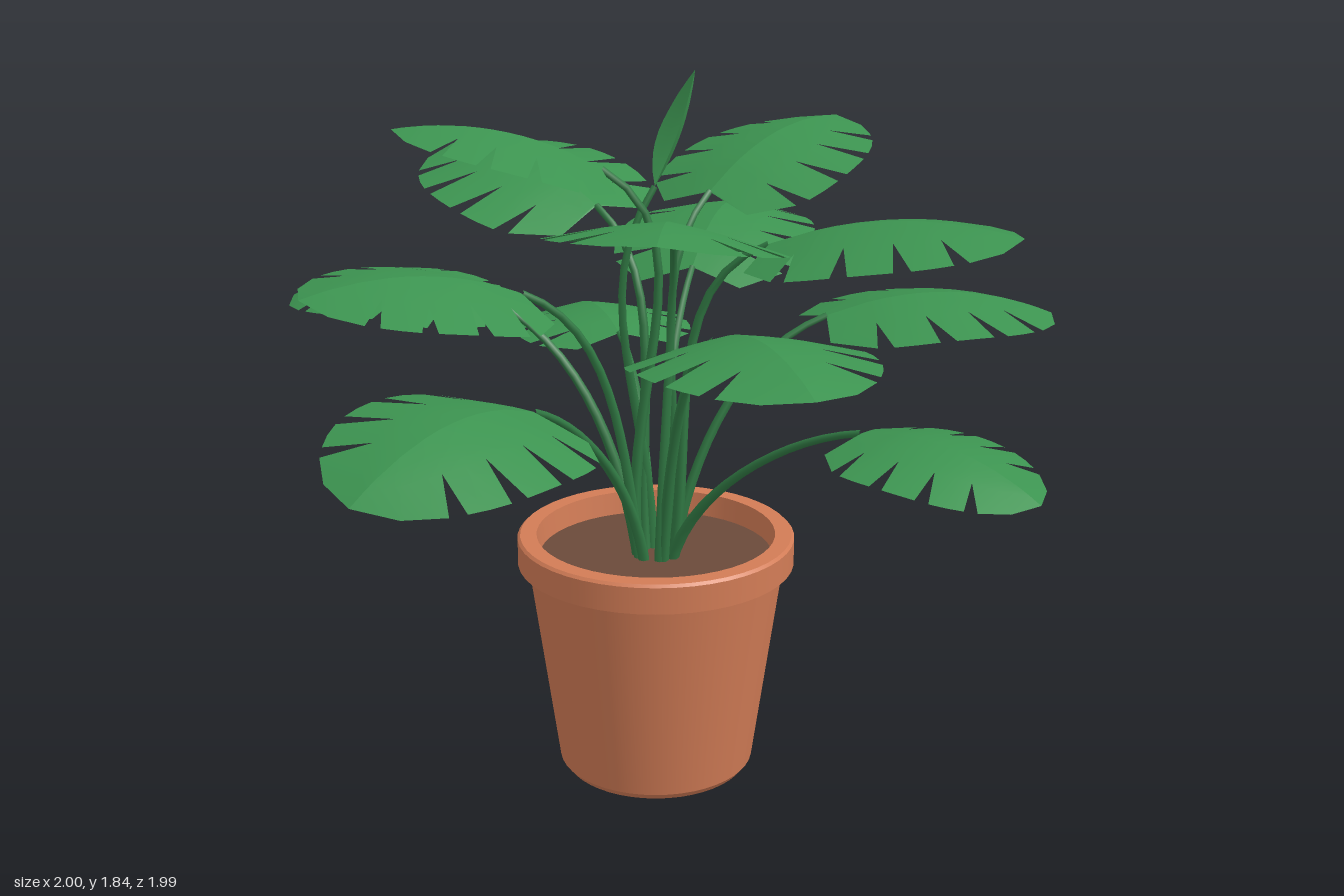
import * as THREE from 'three';
import { mergeGeometries, mergeVertices } from 'three/addons/utils/BufferGeometryUtils.js';

const V3 = (x, y, z) => new THREE.Vector3(x, y, z);
const V2 = (x, y) => new THREE.Vector2(x, y);
const CENTRE = V3(-0.057, 0, -0.075);

const mat = (name, color, side = THREE.FrontSide) => {
  const m = new THREE.MeshStandardMaterial({ color, side });
  m.name = name;
  return m;
};

// Half outline of a blade (along, across), from the notch at the stalk to the tip
const heart = new THREE.SplineCurve([
  V2(0, 0), V2(-0.06, 0.14), V2(-0.02, 0.32), V2(0.15, 0.46), V2(0.4, 0.5),
  V2(0.66, 0.45), V2(0.87, 0.3), V2(0.97, 0.13), V2(1, 0),
]);
const lance = new THREE.SplineCurve([V2(0, 0), V2(0.2, 0.36), V2(0.45, 0.5), V2(0.75, 0.32), V2(1, 0)]);
const SLITS = [0, 0.32, 0.47, 0.61, 0.75, 1];
const ROWS = [0, 0.25, 0.5, 1];

// Frame of a blade: forward along the midrib, side across it, up out of it
function bladeFrame({ base, tip, roll = 0 }) {
  const b = V3(...base), f = V3(...tip).sub(b), length = f.length();
  f.normalize();
  const side = V3(0, 1, 0).cross(f).normalize();
  const up = f.clone().cross(side);
  side.applyAxisAngle(f, -roll);
  up.applyAxisAngle(f, -roll);
  return { b, f, side, up, length };
}

// Blade: lobes joined near the midrib and parted by wedge slits at the rim
function bladeGeometry(leaf) {
  const { b, f, side, up, length } = bladeFrame(leaf);
  const { width, arch, fold = 0.13, outline = heart, gap = 0.02 } = leaf;
  const halves = [1, -1].map((sign) => {
    const pos = [], index = [];
    for (let i = 0; i < SLITS.length - 1; i++) {
      const start = pos.length / 3;
      for (let k = 0; k <= 2; k++) {
        const s = THREE.MathUtils.lerp(SLITS[i], SLITS[i + 1], k / 2);
        let rs = s;
        if (k === 0 && i > 0) rs += gap;
        if (k === 2 && i < SLITS.length - 2) rs -= gap;
        const mid = 0.86 * Math.max(0, (s - 0.15) / 0.85);
        for (const r of ROWS) {
          const rim = outline.getPointAt(r === 1 ? rs : s);
          const u = THREE.MathUtils.lerp(mid, rim.x, r), v = rim.y * r;
          const p = b.clone()
            .addScaledVector(f, u * length)
            .addScaledVector(side, sign * v * width)
            .addScaledVector(up, 4 * arch * u * (1 - u) - width * (fold * v + 0.16 * v * v));
          pos.push(p.x, p.y, p.z);
        }
      }
      const n = ROWS.length;
      for (let k = 0; k < 2; k++) {
        for (let r = 0; r < n - 1; r++) {
          const a = start + k * n + r, c = a + n;
          if (sign > 0) index.push(a, a + 1, c, c, a + 1, c + 1);
          else index.push(a, c, a + 1, c, c + 1, a + 1);
        }
      }
    }
    let g = new THREE.BufferGeometry();
    g.setAttribute('position', new THREE.Float32BufferAttribute(pos, 3));
    g.setIndex(index);
    g = mergeVertices(g, 1e-5);
    g.computeVertexNormals();
    return g;
  });
  return mergeGeometries(halves);
}

// Stalk: rises from the soil and bends out into the blade
function stalkGeometry(leaf) {
  const { b, f, up, length } = bladeFrame(leaf);
  const out = b.clone().sub(CENTRE).setY(0).normalize();
  const s = CENTRE.clone().addScaledVector(out, 0.045).setY(0.56);
  const reach = b.distanceTo(s);
  const end = f.clone().addScaledVector(up, 4 * leaf.arch / length).normalize();
  const c1 = s.clone().addScaledVector(out, 0.06 * reach).add(V3(0, 0.45 * (b.y - s.y), 0));
  const c2 = b.clone().addScaledVector(end, -0.33 * reach);
  const curve = new THREE.CubicBezierCurve3(s, c1, c2, b);
  const segs = 14, sides = 6;
  const g = new THREE.TubeGeometry(curve, segs, 0.016, sides, false);
  // Taper towards the blade
  const p = g.attributes.position, q = V3();
  for (let i = 0; i <= segs; i++) {
    const c = curve.getPointAt(i / segs);
    for (let j = 0; j <= sides; j++) {
      const k = i * (sides + 1) + j;
      q.fromBufferAttribute(p, k).sub(c).multiplyScalar(1 - 0.45 * i / segs).add(c);
      p.setXYZ(k, q.x, q.y, q.z);
    }
  }
  return g;
}

// Leaves in a spiral, from the lowest to the highest
const LEAVES = [
  { base: [0.53, 1.03, -0.04], tip: [1.0, 0.95, 0.01], width: 0.47, arch: 0.05 },
  { base: [-0.12, 1.1, 0.39], tip: [-0.19, 1.04, 0.99], width: 0.57, arch: 0.08, roll: 0.15 },
  { base: [-0.38, 1.06, -0.43], tip: [-0.77, 1.0, -0.79], width: 0.51, arch: 0.05 },
  { base: [0.26, 1.2, -0.41], tip: [0.72, 1.17, -0.84], width: 0.54, arch: 0.06 },
  { base: [-0.48, 1.25, 0.04], tip: [-1.0, 1.23, 0.2], width: 0.54, arch: 0.07 },
  { base: [0.24, 1.27, 0.16], tip: [0.68, 1.29, 0.54], width: 0.55, arch: 0.06 },
  { base: [-0.16, 1.27, -0.45], tip: [-0.28, 1.33, -1.0], width: 0.55, arch: 0.08 },
  { base: [-0.24, 1.34, 0.25], tip: [-0.53, 1.39, 0.72], width: 0.54, arch: 0.05, roll: 0.08 },
  { base: [0.21, 1.43, -0.17], tip: [0.81, 1.48, -0.32], width: 0.61, arch: 0.05 },
  { base: [-0.3, 1.47, -0.19], tip: [-0.87, 1.56, -0.35], width: 0.58, arch: 0.055, roll: 0.1 },
  { base: [0.08, 1.49, 0.08], tip: [0.32, 1.58, 0.57], width: 0.57, arch: 0.04, roll: 0.06 },
  { base: [0.01, 1.53, -0.23], tip: [0.11, 1.66, -0.76], width: 0.53, arch: 0.05 },
  { base: [-0.16, 1.61, 0.01], tip: [-0.55, 1.72, 0.33], width: 0.53, arch: 0.045 },
];
// Young leaf, still folded
const SPEAR = {
  base: [-0.065, 1.56, -0.085], tip: [0.0, 1.84, -0.17],
  width: 0.11, arch: -0.02, fold: -0.7, outline: lance, gap: 0,
};

export function createModel() {
  const model = new THREE.Group();
  model.name = 'pottedPlant';
  const leafGreen = mat('leaf green', 0x3c9350, THREE.DoubleSide);
  const stalkGreen = mat('stalk green', 0x317a44);
  const terracotta = mat('terracotta', 0xd27c56);
  const soilBrown = mat('soil brown', 0x6b4a3a);
  const add = (parent, name, geometry, material) => {
    const m = new THREE.Mesh(geometry, material);
    m.name = name;
    parent.add(m);
    return m;
  };

  // Pot: one lathe per smooth band so the edges stay sharp
  const pot = new THREE.Group();
  pot.name = 'pot';
  pot.position.copy(CENTRE);
  model.add(pot);
  const profile = [
    [0, 0], [0.245, 0], [0.259, 0.018], [0.335, 0.575], [0.362, 0.575],
    [0.362, 0.645], [0.355, 0.652], [0.312, 0.652], [0.303, 0.56],
  ];
  const bands = profile.slice(1).map((p, i) =>
    new THREE.LatheGeometry([V2(...profile[i]), V2(...p)], 48));
  add(pot, 'potShell', mergeGeometries(bands), terracotta);
  const soil = add(pot, 'soil', new THREE.CircleGeometry(0.307, 48), soilBrown);
  soil.rotation.x = -Math.PI / 2;
  soil.position.y = 0.59;

  // Foliage
  [...LEAVES, SPEAR].forEach((leaf) => {
    const group = new THREE.Group();
    group.name = leaf === SPEAR ? 'youngLeaf' : 'leaf';
    add(group, 'blade', bladeGeometry(leaf), leafGreen);
    add(group, 'stalk', stalkGeometry(leaf), stalkGreen);
    model.add(group);
  });
  return model;
}
